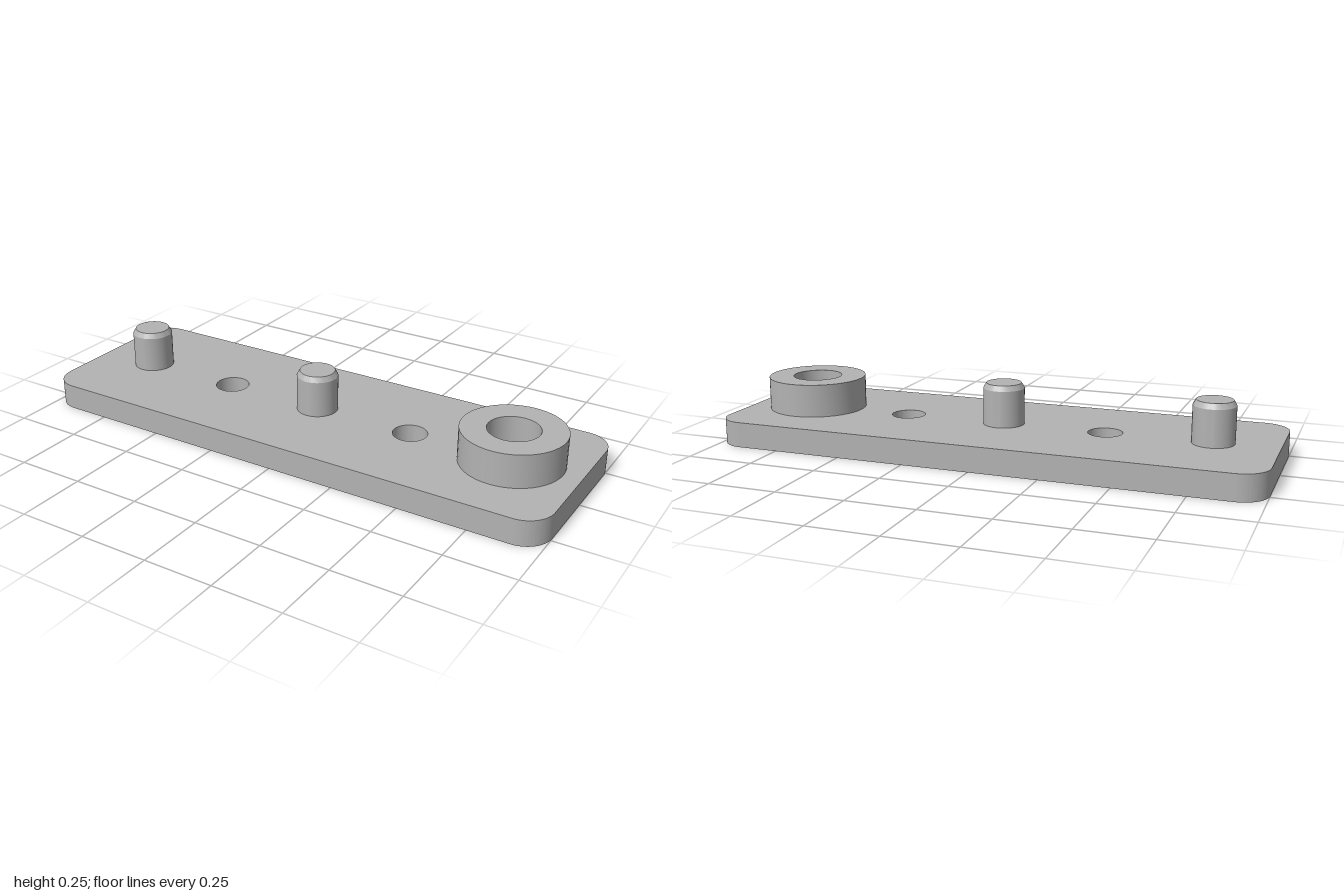
import * as THREE from 'three';
import { toCreasedNormals } from 'three/addons/utils/BufferGeometryUtils.js';

const PLATE_TOP = 0.093;

// Extrudes a ground-plan shape upwards, keeping curved walls smooth
function extrudeUp(shape, height) {
  const geometry = new THREE.ExtrudeGeometry(shape, { depth: height, bevelEnabled: false, curveSegments: 24 });
  geometry.rotateX(-Math.PI / 2);
  return toCreasedNormals(geometry, 0.5);
}

function circlePath(x, radius) {
  return new THREE.Path().absarc(x, 0, radius, 0, Math.PI * 2, true);
}

function roundedRect(w, d, r) {
  const s = new THREE.Shape();
  s.absarc(w - r, d - r, r, 0, Math.PI / 2);
  s.absarc(-w + r, d - r, r, Math.PI / 2, Math.PI);
  s.absarc(-w + r, -d + r, r, Math.PI, Math.PI * 1.5);
  s.absarc(w - r, -d + r, r, Math.PI * 1.5, Math.PI * 2);
  s.closePath();
  return s;
}

export function createModel() {
  const model = new THREE.Group();
  const grey = new THREE.MeshStandardMaterial({ color: 0xb3b3b3 });
  grey.name = 'grey';

  const add = (name, geometry, x = 0, y = 0) => {
    const mesh = new THREE.Mesh(geometry, grey);
    mesh.name = name;
    mesh.position.set(x, y, 0);
    model.add(mesh);
  };

  // Base plate with two small holes and the narrower end of the boss bore
  const plate = roundedRect(1, 0.335, 0.1);
  for (const [x, r] of [[-0.39, 0.062], [0.372, 0.062], [0.754, 0.081]]) plate.holes.push(circlePath(x, r));
  add('basePlate', extrudeUp(plate, PLATE_TOP));

  // Ring-shaped boss with a slightly wider bore
  const ring = new THREE.Shape().absarc(0, 0, 0.182, 0, Math.PI * 2);
  ring.holes.push(circlePath(0, 0.091));
  add('ringBoss', extrudeUp(ring, 0.214 - PLATE_TOP), 0.754, PLATE_TOP);

  // Pins with chamfered tips
  const profile = [[0.075, PLATE_TOP], [0.075, 0.226], [0.064, 0.245], [0, 0.245]]
    .map(([x, y]) => new THREE.Vector2(x, y));
  const pin = toCreasedNormals(new THREE.LatheGeometry(profile, 48), 0.4);
  add('outerPin', pin, -0.771);
  add('middlePin', pin, -0.009);

  return model;
}
